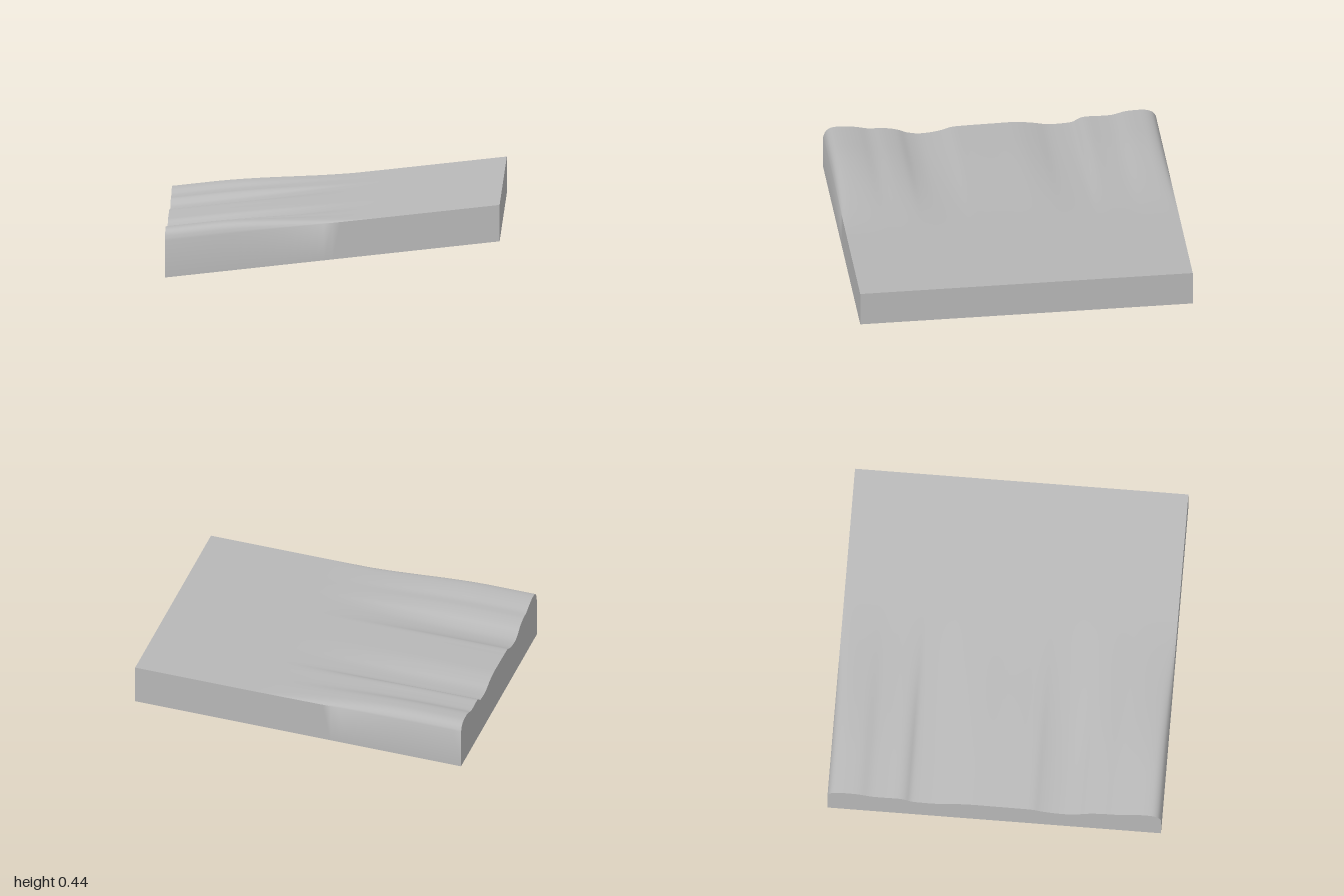
import * as THREE from 'three';
import { mergeGeometries, toCreasedNormals } from 'three/addons/utils/BufferGeometryUtils.js';

const THICKNESS = 0.22;
const COLUMNS = 40;

// underside rises evenly toward +x
const bottomAt = (x) => 0.1125 * (x + 1);
// ridges are full at -x and melt into the flat plane near x = 0.3
const fade = (x) => 1 - THREE.MathUtils.smoothstep(x, -0.75, 0.3);

// ridge profile across the slab: [z, height above the flat plane]
const RIDGES = [
  [-1, 0.005], [-0.98, 0.033], [-0.94, 0.05], [-0.87, 0.053], [-0.81, 0.048],
  [-0.74, 0.03], [-0.66, 0.027], [-0.57, 0.028], [-0.535, 0.018], [-0.5, -0.002],
  [-0.42, -0.01], [-0.34, -0.008], [-0.26, 0.008], [-0.16, 0.021], [0, 0.021],
  [0.15, 0.019], [0.23, 0.015], [0.28, 0.0], [0.34, -0.012], [0.43, -0.017],
  [0.5, -0.003], [0.56, 0.022], [0.64, 0.038], [0.73, 0.042], [0.8, 0.058],
  [0.86, 0.067], [0.92, 0.069], [0.96, 0.062], [0.985, 0.042], [1, 0.004],
];

// grid of quads through point(i, j), facing along (step i) x (step j)
function patch(ni, nj, point) {
  const positions = [], index = [];
  for (let i = 0; i <= ni; i++) {
    for (let j = 0; j <= nj; j++) positions.push(...point(i, j));
  }
  for (let i = 0; i < ni; i++) {
    for (let j = 0; j < nj; j++) {
      const a = i * (nj + 1) + j, b = a + nj + 1;
      index.push(a, b, b + 1, a, b + 1, a + 1);
    }
  }
  const geometry = new THREE.BufferGeometry();
  geometry.setAttribute('position', new THREE.Float32BufferAttribute(positions, 3));
  geometry.setIndex(index);
  return geometry;
}

export function createModel() {
  const stone = new THREE.MeshStandardMaterial({ color: 0xb8b8b8 });
  stone.name = 'plain grey';

  const curve = new THREE.CatmullRomCurve3(RIDGES.map(([z, h]) => new THREE.Vector3(0, h, z)));
  const section = curve.getSpacedPoints(160);
  const last = section.length - 1;
  const xAt = (i) => -1 + (2 * i) / COLUMNS;
  const top = (x, k) => [x, bottomAt(x) + THICKNESS + fade(x) * section[k].y, section[k].z];
  const bottom = (x, k) => [x, bottomAt(x), section[k].z];

  const faces = [
    // rippled top and flat underside
    patch(last, COLUMNS, (k, i) => top(xAt(i), k)),
    patch(COLUMNS, last, (i, k) => bottom(xAt(i), k)),
    // front and back walls
    patch(COLUMNS, 1, (i, j) => (j ? top : bottom)(xAt(i), last)),
    patch(1, COLUMNS, (j, i) => (j ? top : bottom)(xAt(i), 0)),
    // thin end walls
    patch(1, last, (j, k) => (j ? top : bottom)(1, k)),
    patch(last, 1, (k, j) => (j ? top : bottom)(-1, k)),
  ];
  const slab = new THREE.Mesh(toCreasedNormals(mergeGeometries(faces), 1.0), stone);
  slab.name = 'rippledSlab';

  const model = new THREE.Group();
  model.name = 'rippledRamp';
  model.add(slab);
  return model;
}
